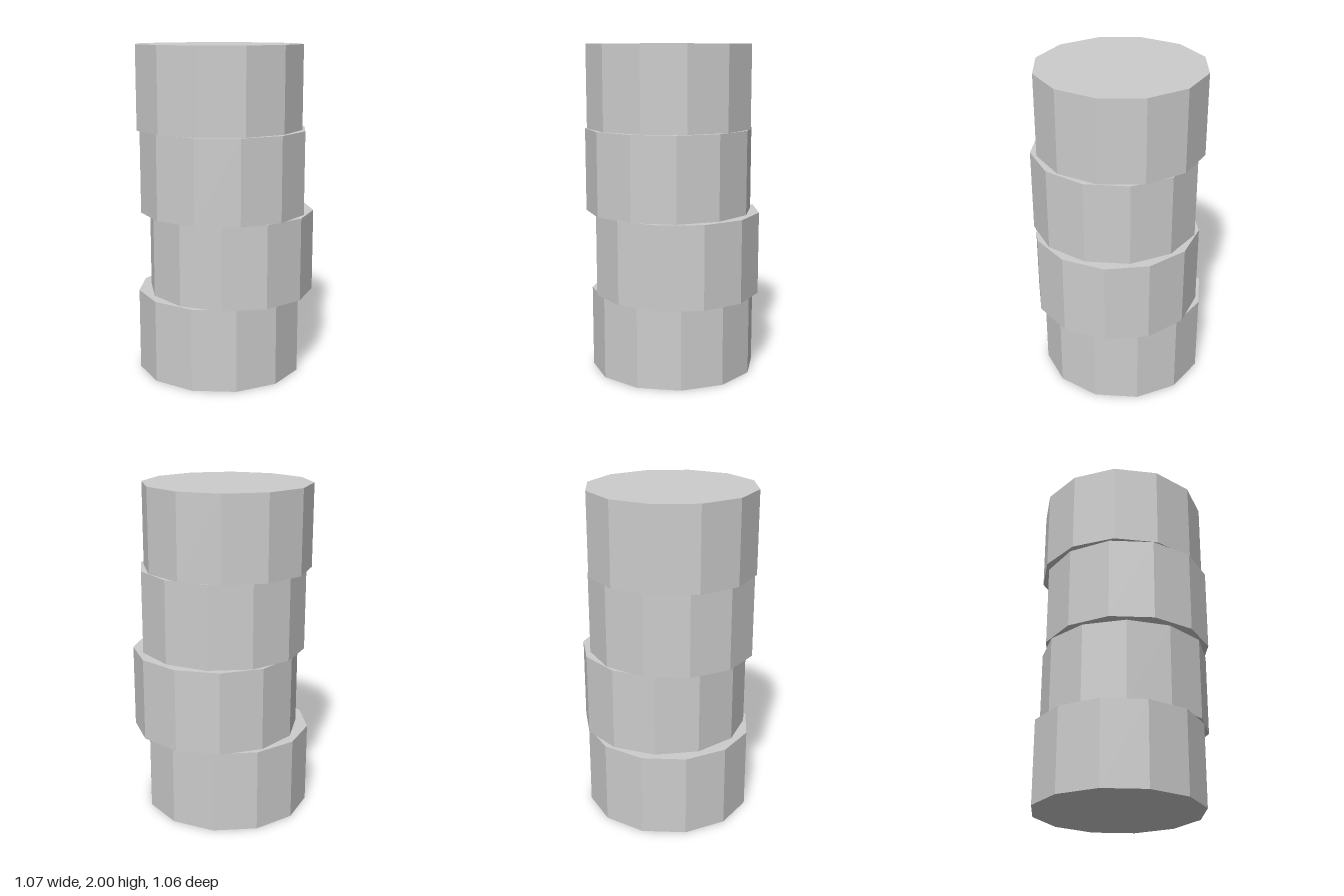
import * as THREE from 'three';

const SIDES = 12;
const RADIUS = 0.507;
const HEIGHT = 0.5;

// Offset of each drum from the column axis and its turn in degrees, bottom to top
const DRUMS = [
  { name: 'baseDrum', x: -0.012, z: -0.033, turn: 11 },
  { name: 'lowerDrum', x: 0.025, z: 0.027, turn: -1.5 },
  { name: 'upperDrum', x: -0.028, z: 0.01, turn: 11.4 },
  { name: 'topDrum', x: -0.03, z: -0.022, turn: 5.1 },
];

export function createModel() {
  const column = new THREE.Group();
  column.name = 'stackedColumn';

  const stone = new THREE.MeshStandardMaterial({ color: 0xcccccc });
  stone.name = 'pale grey stone';
  stone.flatShading = true;

  // Every drum shares one faceted cylinder
  const drumGeometry = new THREE.CylinderGeometry(RADIUS, RADIUS, HEIGHT, SIDES);

  DRUMS.forEach(({ name, x, z, turn }, i) => {
    const drum = new THREE.Mesh(drumGeometry, stone);
    drum.name = name;
    drum.position.set(x, HEIGHT * (i + 0.5), z);
    drum.rotation.y = -THREE.MathUtils.degToRad(turn);
    column.add(drum);
  });

  return column;
}
